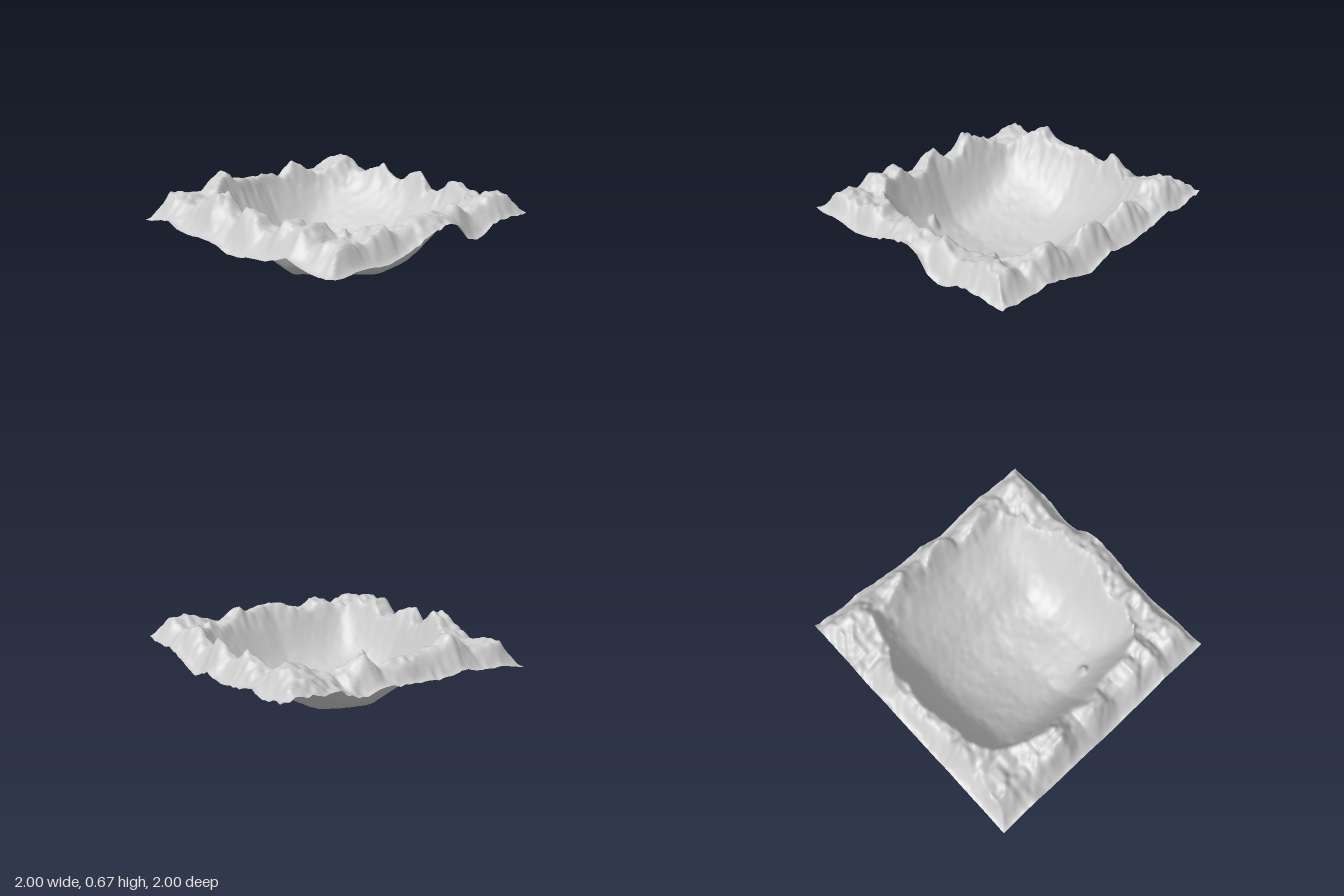
import * as THREE from 'three';

const N = 130; // grid cells per side
const { lerp, clamp, smoothstep } = THREE.MathUtils;

// Linear interpolation of evenly spaced heights over t = -1..1
function along(heights, t) {
  const u = clamp((t + 1) / 2, 0, 1) * (heights.length - 1);
  const i = Math.min(Math.floor(u), heights.length - 2);
  return lerp(heights[i], heights[i + 1], u - i);
}

// Linear interpolation of [position, height] pairs
function profile(points, t) {
  let i = 0;
  while (i < points.length - 2 && t > points[i + 1][0]) i++;
  const [a, ha] = points[i], [b, hb] = points[i + 1];
  return ha + ((hb - ha) * (t - a)) / (b - a);
}

// Profile with its corners rounded off
function softProfile(points, t) {
  return (profile(points, t - 0.04) + profile(points, t) + profile(points, t + 0.04)) / 3;
}

// Repeatable value noise in -1..1
function hash(i, j) {
  const s = Math.sin(i * 127.1 + j * 311.7) * 43758.5453;
  return (s - Math.floor(s)) * 2 - 1;
}
function noise(x, z) {
  const i = Math.floor(x), j = Math.floor(z);
  const s = (f) => f * f * (3 - 2 * f);
  const u = s(x - i), v = s(z - j);
  return lerp(lerp(hash(i, j), hash(i + 1, j), u), lerp(hash(i, j + 1), hash(i + 1, j + 1), u), v);
}

// Basin cross-sections across x and along z
const acrossX = [[-1, 0.8], [-0.85, 0.62], [-0.75, 0.4], [-0.6, 0.19], [-0.5, 0.13], [-0.4, 0.085], [-0.2, 0.025], [0, 0.005],
  [0.3, 0.015], [0.45, 0.04], [0.55, 0.11], [0.65, 0.23], [0.72, 0.36], [0.85, 0.58], [1, 0.75]];
const alongZ = [[-1, 0.9], [-0.85, 0.6], [-0.78, 0.42], [-0.7, 0.33], [-0.6, 0.24], [-0.4, 0.12], [-0.3, 0.05],
  [-0.22, 0.015], [-0.1, 0], [0.2, 0.02], [0.4, 0.04], [0.5, 0.07], [0.6, 0.18], [0.67, 0.34], [0.78, 0.58], [1, 0.9]];

// Crest and outer edge heights of the four rim sides, from -1 to 1
const rim = {
  back: {
    width: 0.16,
    crest: [0.64, 0.63, 0.63, 0.66, 0.58, 0.55, 0.59, 0.64, 0.56, 0.52, 0.6, 0.62, 0.5, 0.5, 0.58, 0.6, 0.55, 0.5, 0.6, 0.58, 0.58],
    edge: [0.52, 0.47, 0.48, 0.44, 0.4, 0.42, 0.34, 0.39, 0.44, 0.42, 0.43],
  },
  front: {
    width: 0.18,
    crest: [0.58, 0.55, 0.54, 0.52, 0.5, 0.55, 0.6, 0.64, 0.53, 0.5, 0.61, 0.55, 0.48, 0.48, 0.59, 0.53, 0.57, 0.48, 0.54, 0.52, 0.52],
    edge: [0.36, 0.37, 0.39, 0.4, 0.37, 0.36, 0.35, 0.36, 0.36, 0.34, 0.31, 0.31, 0.33, 0.34, 0.35, 0.38, 0.42, 0.39, 0.37, 0.36, 0.37],
  },
  left: {
    width: 0.13,
    crest: [0.58, 0.6, 0.62, 0.57, 0.53, 0.49, 0.53, 0.59, 0.54, 0.56, 0.57, 0.54, 0.5, 0.49, 0.56, 0.52, 0.47, 0.5, 0.58, 0.53, 0.52],
    edge: [0.43, 0.42, 0.43, 0.43, 0.41, 0.36, 0.33, 0.36, 0.47, 0.51, 0.5, 0.46, 0.42, 0.39, 0.37, 0.35, 0.36, 0.37, 0.37, 0.36, 0.37],
  },
  right: {
    width: 0.15,
    crest: [0.64, 0.63, 0.66, 0.61, 0.56, 0.52, 0.58, 0.65, 0.54, 0.58, 0.57, 0.56, 0.58, 0.58, 0.65, 0.6, 0.54, 0.58, 0.65, 0.56, 0.56],
    edge: [0.52, 0.54, 0.5, 0.44, 0.48, 0.44, 0.42, 0.46, 0.42, 0.4, 0.36],
  },
};

// Upper limit of the ground at a distance in from one side; lifts away past the crest
function rimLimit({ width, crest, edge }, t, distance) {
  const slope = lerp(along(edge, t), along(crest, t), smoothstep(distance, 0, width));
  return slope + 3 * Math.max(0, distance - 2.2 * width);
}

function groundHeight(x, z) {
  // Rounded bowl: the two cross-sections combined, with its corners filled in
  const a = softProfile(acrossX, x), b = softProfile(alongZ, z);
  const cornerFill = Math.abs((x - 0.05) * z) * (z > 0 ? 0.5 : 0.25);
  const basin = Math.pow(Math.max(a, 0) ** 1.6 + Math.max(b, 0) ** 1.6, 1 / 1.6) + cornerFill;
  const h = Math.min(
    basin,
    rimLimit(rim.back, x, z + 1), rimLimit(rim.front, x, 1 - z),
    rimLimit(rim.left, z, 1 - x), rimLimit(rim.right, z, x + 1),
  );
  // Rough crests, gently rippled basin floor, one small spike
  const rough = 0.007 + 0.03 * smoothstep(h, 0.35, 0.55);
  const ripple = noise(x * 9, z * 9) * 0.5 + noise(x * 24 + 40, z * 24) * 0.5;
  const spike = 0.11 * Math.max(0, 1 - Math.hypot(x - 0.28, z - 0.51) / 0.05) ** 1.5;
  return h + rough * ripple + spike;
}

export function createModel() {
  const group = new THREE.Group();
  group.name = 'terrain';

  // Square sheet raised into a basin ringed by jagged ridges
  const geometry = new THREE.PlaneGeometry(2, 2, N, N).rotateX(-Math.PI / 2);
  const p = geometry.attributes.position;
  for (let i = 0; i < p.count; i++) p.setY(i, groundHeight(p.getX(i), p.getZ(i)));
  geometry.computeBoundingBox();
  geometry.translate(0, -geometry.boundingBox.min.y, 0);
  geometry.computeVertexNormals();

  const material = new THREE.MeshStandardMaterial({ color: 0xcccccc, side: THREE.DoubleSide });
  const ground = new THREE.Mesh(geometry, material);
  ground.name = 'craterGround';
  group.add(ground);
  return group;
}
